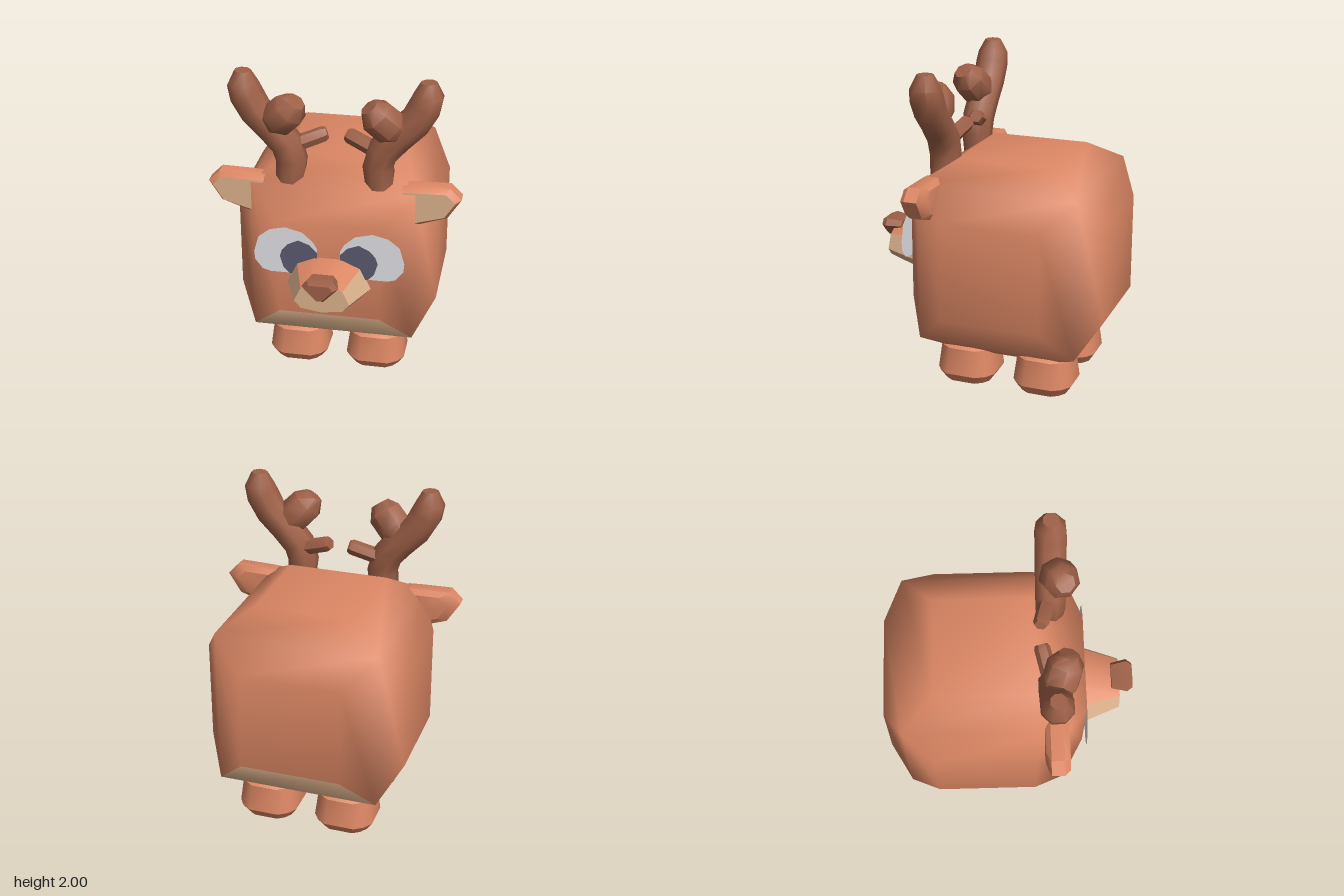
import * as THREE from 'three';
import { toCreasedNormals } from 'three/addons/utils/BufferGeometryUtils.js';

const mat = (name, color, side = THREE.FrontSide) => {
  const m = new THREE.MeshStandardMaterial({ color, side });
  m.name = name;
  return m;
};

// Indexed geometry with one index list per material slot
function indexed(points, lists) {
  const g = new THREE.BufferGeometry();
  g.setAttribute('position', new THREE.Float32BufferAttribute(points.flat(), 3));
  g.setIndex(lists.flat());
  let start = 0;
  lists.forEach((l, k) => {
    if (l.length) g.addGroup(start, l.length, k);
    start += l.length;
  });
  return g;
}

// Closed loft through rings of equal length, counterclockwise seen from the last ring.
// slot(i, j) picks the material of a side quad (i = -1 start cap, i = last end cap).
function loft(rings, { mirror = false, crease = 0.65, slot = () => 0 } = {}) {
  if (mirror) rings = rings.map(r => r.map(([x, y, z]) => [-x, y, z]).reverse());
  const n = rings[0].length, last = rings.length - 1, pts = rings.flat(), lists = [[], []];
  for (let i = 0; i < last; i++) for (let j = 0; j < n; j++) {
    const a = i * n + j, b = i * n + (j + 1) % n;
    lists[slot(i, j)].push(a, b, b + n, a, b + n, a + n);
  }
  const cap = (i, id, flip) => {
    const c = pts.length;
    pts.push([0, 1, 2].map(k => rings[i].reduce((s, p) => s + p[k], 0) / n));
    for (let j = 0; j < n; j++) {
      const a = i * n + j, b = i * n + (j + 1) % n;
      lists[slot(id, j)].push(c, flip ? b : a, flip ? a : b);
    }
  };
  cap(0, -1, true);
  cap(last, last, false);
  return toCreasedNormals(indexed(pts, lists), crease);
}

// Horn branch: rings of changing radius [x, y, z, r] along a path
function branch(path, sides, mirror) {
  const P = path.map(p => new THREE.Vector3(p[0], p[1], p[2]));
  const rings = P.map((p, i) => {
    const t = P[Math.min(i + 1, P.length - 1)].clone().sub(P[Math.max(i - 1, 0)]).normalize();
    const u = new THREE.Vector3(0, 0, 1).cross(t).normalize();
    const v = t.clone().cross(u);
    return Array.from({ length: sides }, (_, k) => {
      const a = ((k + 0.5) / sides) * Math.PI * 2, r = path[i][3];
      return p.clone().addScaledVector(u, Math.cos(a) * r).addScaledVector(v, Math.sin(a) * r).toArray();
    });
  });
  return loft(rings, { mirror, crease: 0.95 });
}

// Scale an outline around a centre and place it at depth z
const layer = (outline, cx, cy, s, z) => outline.map(([x, y]) => [cx + (x - cx) * s, cy + (y - cy) * s, z]);

// Rounded cube: eight corners plus a raised flat panel on each face
function bodyGeometry() {
  const C = 0.5, F = 0.31, H = 0.625, pts = [], lists = [[], []], ids = new Map();
  const id = p => {
    const key = p.join();
    if (!ids.has(key)) {
      ids.set(key, pts.length);
      pts.push([p[0], p[1] + 0.815, p[2] - 0.155]);
    }
    return ids.get(key);
  };
  const quad = (k, a, b, c, d) => lists[k].push(a, b, c, a, c, d);
  for (let n = 0; n < 3; n++) for (const s of [1, -1]) {
    const u = (n + 1) % 3, v = (n + 2) % 3;
    const at = (h, w, i) => {
      const p = [0, 0, 0];
      const [a, b] = [[-1, -1], [1, -1], [1, 1], [-1, 1]][i % 4];
      p[n] = s * h; p[u] = s * a * w; p[v] = b * w;
      return id(p);
    };
    const inner = [0, 1, 2, 3].map(i => at(H, F, i)), outer = [0, 1, 2, 3].map(i => at(C, C, i));
    const bottom = n === 1 && s < 0;
    quad(bottom ? 1 : 0, ...inner);
    for (let i = 0; i < 4; i++) {
      const k = (i + 1) % 4, o = [pts[outer[i]], pts[outer[k]]];
      // pale belly: the strips along the lower front and lower back edges
      const low = o[0][1] < 0.5 && o[1][1] < 0.5 && o[0][2] === o[1][2];
      quad(low && n > 0 ? 1 : 0, outer[i], outer[k], inner[k], inner[i]);
    }
  }
  const g = indexed(pts, lists);
  g.computeVertexNormals();
  return g;
}

export function createModel() {
  const fur = mat('fur', 0xdc8764), pale = mat('pale fur', 0xdcb18b), horn = mat('horn', 0x9e6047);
  const white = mat('eye white', 0xe4e4ea, THREE.DoubleSide), dark = mat('pupil', 0x5a5a6e, THREE.DoubleSide);
  const root = new THREE.Group();
  const add = (name, geometry, material) => {
    const m = new THREE.Mesh(geometry, material);
    m.name = name;
    root.add(m);
    return m;
  };

  add('body', bodyGeometry(), [fur, pale]);

  // Feet: rounded-square rings
  const ring = [];
  for (let q = 0; q < 4; q++) for (const [a, b] of [[1, 0.5], [0.8, 0.8], [0.5, 1]]) {
    const c = [1, 0, -1, 0][q], s = [0, 1, 0, -1][q];
    ring.push([a * c - b * s, a * s + b * c]);
  }
  for (const x of [-0.25, 0.25]) for (const z of [0.1, -0.405]) {
    const rings = [[0, 0.148], [0.06, 0.187], [0.23, 0.165], [0.25, 0.14]]
      .map(([y, r]) => ring.map(([a, b]) => [x + a * r, y, z - b * r]));
    add('foot', loft(rings), fur);
  }

  // Muzzle: pale sides and front, fur on top
  const snout = [[0.265, 0.72], [0.2, 0.86], [0.09, 0.91], [-0.09, 0.91], [-0.2, 0.86],
    [-0.265, 0.72], [-0.2, 0.645], [0, 0.615], [0.2, 0.645]];
  add('muzzle', loft([layer(snout, 0, 0.765, 1.02, 0.44), layer(snout, 0, 0.765, 0.63, 0.705)], {
    slot: (i, j) => (i === 0 && j >= 1 && j <= 3 ? 0 : 1)
  }), [fur, pale]);

  // Nose
  const noseShape = [[0.11, 0.87], [0.08, 0.91], [-0.08, 0.91], [-0.11, 0.87], [-0.02, 0.775], [0.02, 0.775]];
  add('nose', loft([[0.65, 0.78], [0.75, 1], [0.785, 0.75]].map(([z, s]) => layer(noseShape, 0, 0.86, s, z))), horn);

  const earShape = [[0.42, 1.1], [0.5, 1.1], [0.69, 1.165], [0.77, 1.29], [0.7, 1.36], [0.5, 1.355], [0.42, 1.35]];
  const eyeShape = [[0.07, 0.785], [0.36, 0.785], [0.41, 0.8], [0.455, 0.86], [0.46, 0.915], [0.43, 1.02],
    [0.36, 1.075], [0.265, 1.097], [0.16, 1.07], [0.095, 1.01], [0.07, 0.965]];
  const pupilShape = [[0.07, 0.785], [0.24, 0.785], [0.278, 0.825], [0.3, 0.9], [0.285, 0.945], [0.25, 0.985],
    [0.185, 1.017], [0.115, 0.99], [0.07, 0.94]];
  const plate = (outline, s, z) =>
    new THREE.ShapeGeometry(new THREE.Shape(outline.map(([x, y]) => new THREE.Vector2(s * x, y)))).translate(0, 0, z);

  for (const s of [1, -1]) {
    const mirror = s < 0, side = mirror ? 'right' : 'left';

    // Ear with a pale front
    const ear = [[0.2, 0.74], [0.23, 1], [0.31, 1], [0.345, 0.78]].map(([z, k]) => layer(earShape, 0.48, 1.24, k, z));
    ear.forEach((r, i) => r.forEach((p, j) => {
      // keep the inner edge deep in the body and the tip long
      if (j === 0 || j === 6) p[0] = 0.42;
      if (j === 1 || j === 5) p[0] = 0.5;
      if (i === 3 && j > 1 && j < 5) p[0] += 0.03;
    }));
    add(side + ' ear', loft(ear, { mirror, slot: i => (i === 3 ? 1 : 0) }), [fur, pale]);

    // Flat eye plates
    add(side + ' eye', plate(eyeShape, s, 0.473), white);
    add(side + ' pupil', plate(pupilShape, s, 0.478), dark);

    // Antler: main beam, thick tine and thin tine
    add(side + ' antler', branch([[0.275, 1.32, 0.255, 0.09], [0.262, 1.45, 0.255, 0.097], [0.29, 1.55, 0.255, 0.1],
      [0.375, 1.65, 0.255, 0.1], [0.475, 1.75, 0.255, 0.1], [0.53, 1.85, 0.255, 0.102],
      [0.55, 1.92, 0.255, 0.093], [0.548, 2.0, 0.255, 0.05]], 8, mirror), horn);
    add(side + ' thick tine', branch([[0.41, 1.65, 0.245, 0.06], [0.335, 1.72, 0.285, 0.112],
      [0.255, 1.8, 0.315, 0.11], [0.215, 1.855, 0.33, 0.06]], 7, mirror), horn);
    add(side + ' thin tine', branch([[0.27, 1.53, 0.24, 0.05], [0.08, 1.6, 0.19, 0.048], [0.06, 1.607, 0.185, 0.038]], 6, mirror), horn);
  }
  return root;
}
